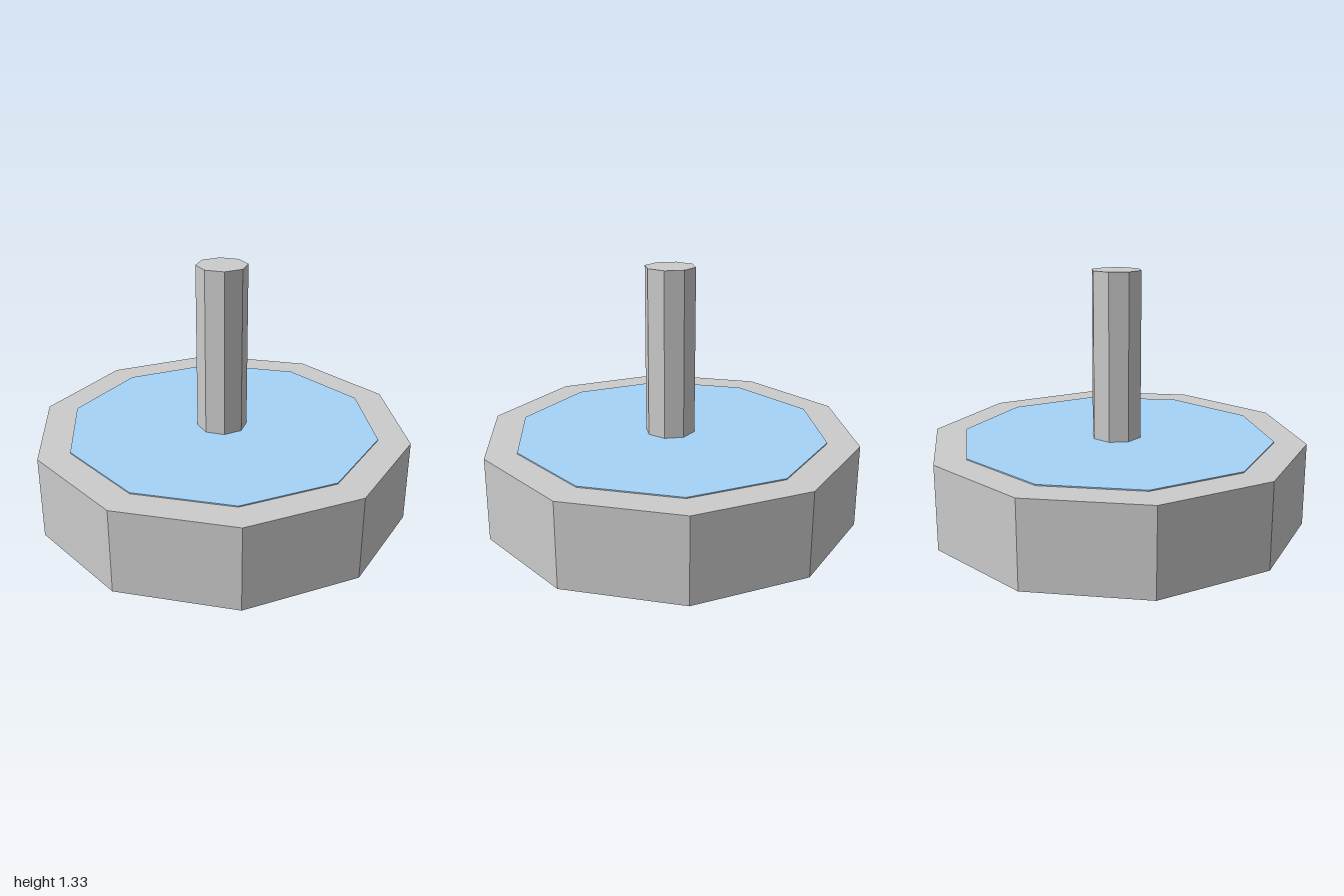
import * as THREE from 'three';

export function createModel() {
  const model = new THREE.Group();
  const grey = new THREE.MeshStandardMaterial({ color: 0xcccccc, flatShading: true });
  const blue = new THREE.MeshStandardMaterial({ color: 0xa6d3f8, flatShading: true });

  // Upright prism standing between two heights, with a corner facing front
  function prism(name, radius, bottom, top, sides, material) {
    const mesh = new THREE.Mesh(
      new THREE.CylinderGeometry(radius, radius, top - bottom, sides), material);
    mesh.position.y = (bottom + top) / 2;
    mesh.name = name;
    model.add(mesh);
  }

  // Ten-sided basin
  prism('basin', 1, 0, 0.444, 10, grey);
  // Thin water surface, just proud of the rim
  prism('water', 0.833, 0.43, 0.45, 10, blue);
  // Eight-sided central column
  prism('column', 0.133, 0.444, 1.333, 8, grey);

  return model;
}
